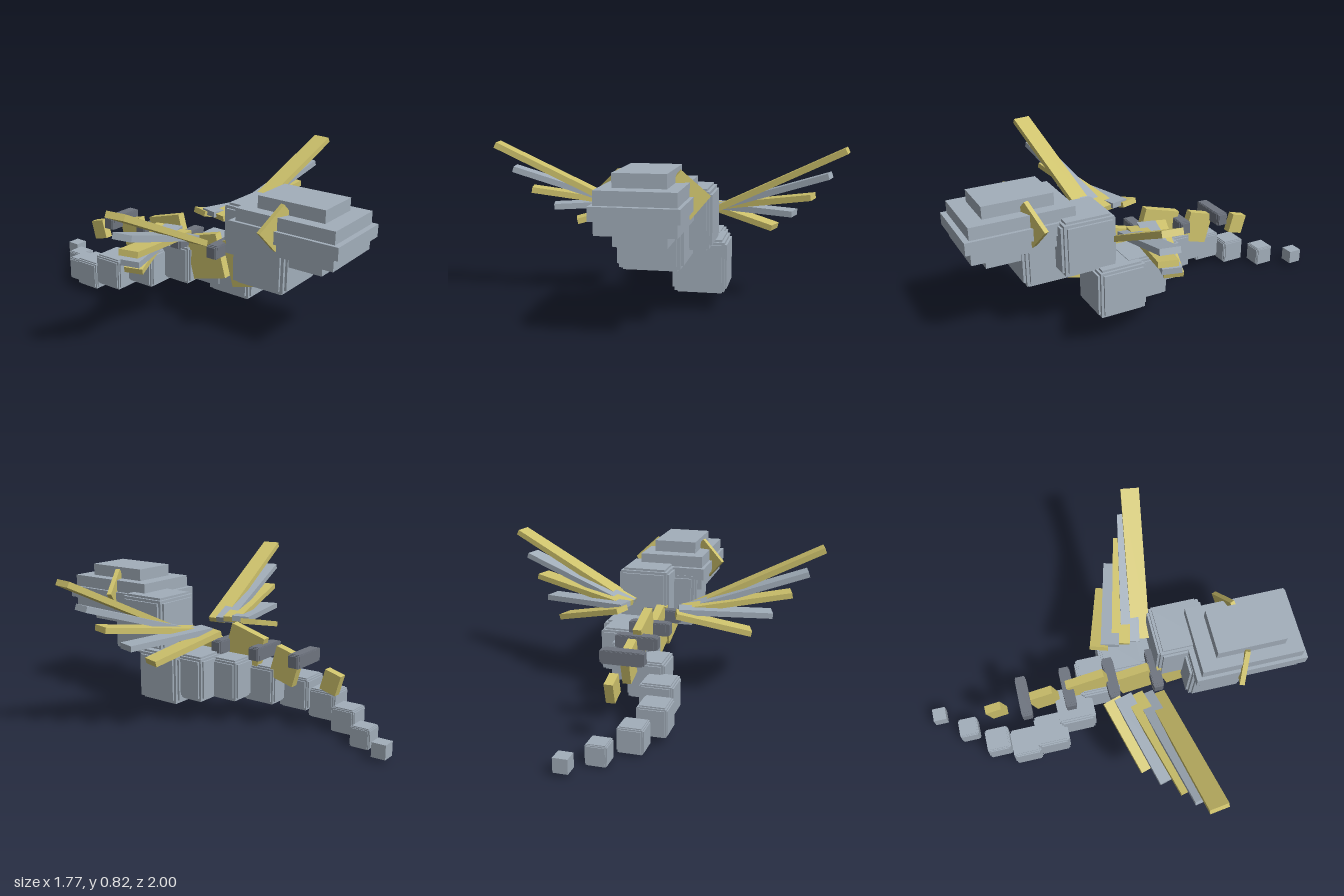
import * as THREE from 'three';

export function createModel() {
  const model = new THREE.Group();
  const scaleGrey = new THREE.MeshStandardMaterial({ color: 0xa2aeba });
  scaleGrey.name = 'scale grey';
  const gold = new THREE.MeshStandardMaterial({ color: 0xcec26c });
  gold.name = 'gold';
  const darkGrey = new THREE.MeshStandardMaterial({ color: 0x6e747f });
  darkGrey.name = 'dark grey';

  function box(name, w, h, d, material, x, y, z, parent = model) {
    const mesh = new THREE.Mesh(new THREE.BoxGeometry(w, h, d), material);
    mesh.name = name;
    mesh.position.set(x, y, z);
    parent.add(mesh);
    return mesh;
  }

  // Block with stepped edges: a core and three crossing slabs
  function steppedBlock(name, w, h, d, material, x, y, z) {
    const group = new THREE.Group();
    group.name = name;
    group.position.set(x, y, z);
    const a = 0.82, b = 0.92;
    for (const [i, j, k] of [[b, b, b], [1, a, a], [a, 1, a], [a, a, 1]]) {
      box(name + 'Slab', w * i, h * j, d * k, material, 0, 0, 0, group);
    }
    model.add(group);
  }

  // Head: five stacked slabs, widest in the middle
  const headLayers = [[0.24, 0.36], [0.36, 0.53], [0.394, 0.585], [0.36, 0.53], [0.24, 0.36]];
  headLayers.forEach(([w, d], i) => {
    box('headLayer', w, 0.064, d, scaleGrey, 0, 0.472 + i * 0.064, 0.708);
  });

  // Cheek fins
  for (const s of [1, -1]) {
    const fin = box('cheekFin', 0.18, 0.14, 0.025, gold, s * 0.16, 0.64, 0.67);
    fin.rotation.set(0, s * 0.37, s * -0.73);
  }

  // Body: winding chain of shrinking blocks, as [size, height of centre]
  const segments = [
    [0.31, 0.445], [0.29, 0.5], [0.268, 0.238], [0.24, 0.255], [0.218, 0.248], [0.2, 0.215],
    [0.175, 0.17], [0.155, 0.125], [0.132, 0.084], [0.107, 0.062],
  ];
  segments.forEach(([size, y], i) => {
    steppedBlock('bodySegment', size, size, size, scaleGrey, 0.18 * Math.sin(0.7 * i), y, 0.555 - 0.152 * i);
  });
  box('tailTip', 0.073, 0.073, 0.073, scaleGrey, 0.118, 0.065, -0.963);

  // Tilted plates along the back, as [length, height, y, z]
  const plates = [
    [0.2, 0.25, 0.345, 0.39], [0.21, 0.24, 0.32, 0.145], [0.212, 0.245, 0.37, -0.1],
    [0.146, 0.17, 0.335, -0.36], [0.09, 0.108, 0.298, -0.627],
  ];
  for (const [length, height, y, z] of plates) {
    box('backPlate', 0.045, height, length, gold, 0, y, z).rotation.x = -0.28;
  }

  // Crossbars along the back
  for (let i = 0; i < 4; i++) {
    steppedBlock('backBar', 0.225, 0.072, 0.06, darkGrey, 0, 0.395, 0.25 - 0.238 * i);
  }

  // Wings: five feathers a side, as [root, tip]
  const feathers = [
    [[0.165, 0.465, 0.215], [0.87, 0.815, 0.315]],
    [[0.155, 0.475, 0.155], [0.795, 0.69, 0.28]],
    [[0.15, 0.487, 0.1], [0.715, 0.58, 0.24]],
    [[0.148, 0.498, 0.04], [0.625, 0.482, 0.165]],
    [[0.148, 0.492, -0.02], [0.525, 0.395, 0.095]],
  ];
  for (const s of [1, -1]) {
    feathers.forEach(([root, tip], i) => {
      const from = new THREE.Vector3(s * root[0], root[1], root[2]);
      const to = new THREE.Vector3(s * tip[0], tip[1], tip[2]);
      const dir = to.clone().sub(from);
      const mid = from.add(to).multiplyScalar(0.5);
      const feather = box('wingFeather', dir.length(), 0.03, 0.097, i % 2 ? scaleGrey : gold, mid.x, mid.y, mid.z);
      feather.rotation.set(0, Math.atan2(-dir.z, dir.x), Math.atan2(dir.y, Math.hypot(dir.x, dir.z)));
    });
  }

  return model;
}
